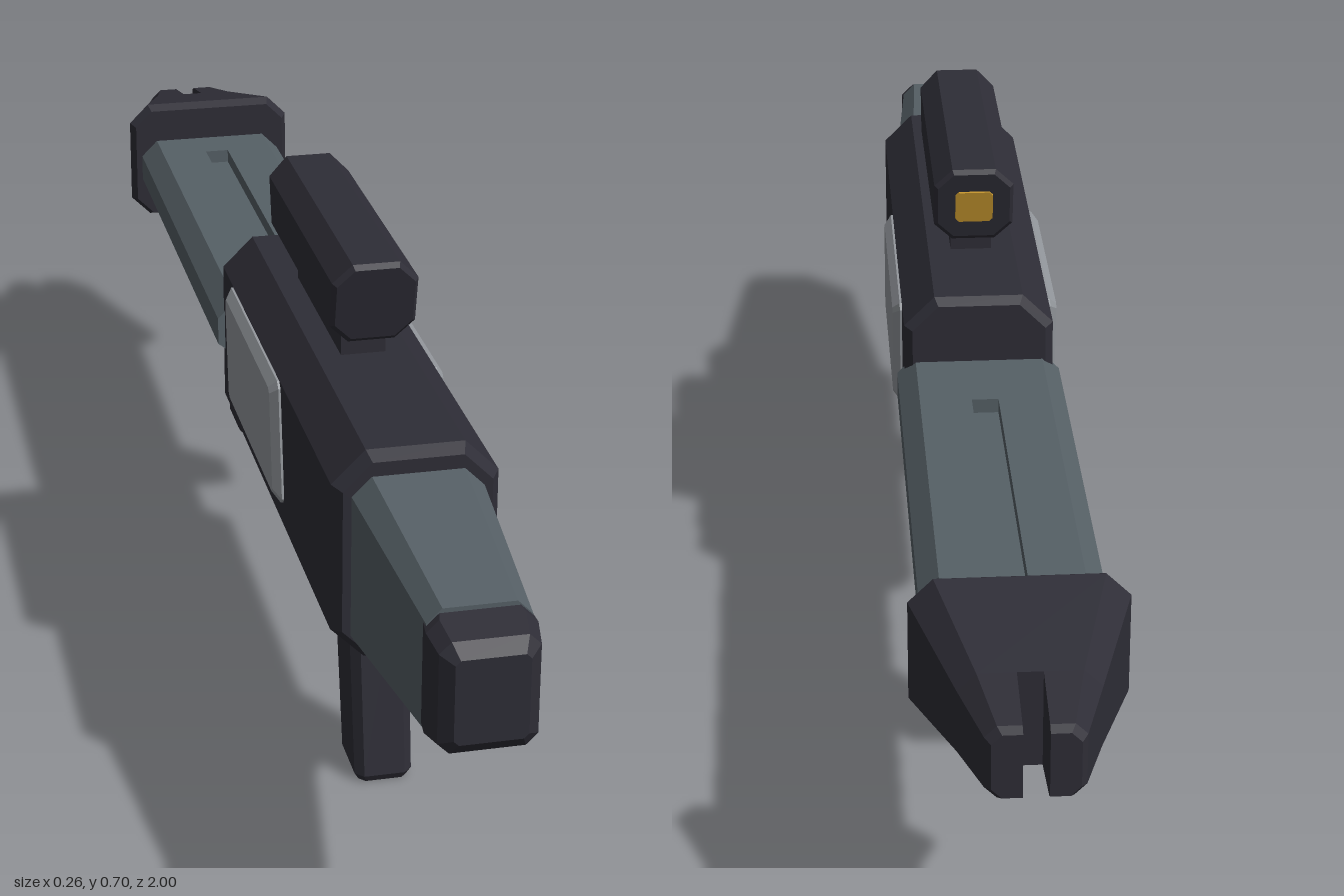
import * as THREE from 'three';

const mat = (name, color, extra = {}) => new THREE.MeshStandardMaterial({ name, color, flatShading: true, ...extra });

// Chamfered rectangles, each [z, y0, y1, halfWidth, chamfer], joined in order of rising z and capped.
function loft(sections, move) {
  const pos = [];
  const rings = sections.map(([z, y0, y1, w, c]) => [
    [w, y0 + c], [w, y1 - c], [w - c, y1], [c - w, y1],
    [-w, y1 - c], [-w, y0 + c], [c - w, y0], [w - c, y0],
  ].map(([x, y]) => {
    const v = new THREE.Vector3(x, y, z);
    if (move) move(v);
    return v;
  }));
  const tri = (a, b, c) => pos.push(...a, ...b, ...c);
  for (let i = 0; i + 1 < rings.length; i++) {
    const p = rings[i], q = rings[i + 1];
    for (let k = 0; k < 8; k++) {
      const n = (k + 1) % 8;
      tri(p[k], p[n], q[n]);
      tri(p[k], q[n], q[k]);
    }
  }
  const first = rings[0], last = rings[rings.length - 1];
  for (let k = 1; k < 7; k++) {
    tri(first[0], first[k + 1], first[k]);
    tri(last[0], last[k], last[k + 1]);
  }
  const g = new THREE.BufferGeometry();
  g.setAttribute('position', new THREE.Float32BufferAttribute(pos, 3));
  g.computeVertexNormals();
  return g;
}

export function createModel() {
  const model = new THREE.Group();
  model.name = 'launcher';
  const dark = mat('dark casing', 0x2e2d36);
  const steel = mat('steel grey', 0x566066);
  const light = mat('light panel', 0x94989d);
  const gold = mat('gold lens', 0xc8982f);
  const add = (name, geometry, material, parent = model) => {
    const m = new THREE.Mesh(geometry, material);
    m.name = name;
    parent.add(m);
    return m;
  };

  // Main body, tapered nose and end cap
  add('body', loft([
    [-0.07, 0.28, 0.54, 0.092, 0.036], [-0.058, 0.27, 0.55, 0.103, 0.042],
    [0.645, 0.27, 0.55, 0.103, 0.042], [0.662, 0.28, 0.54, 0.092, 0.036],
  ]), dark);
  add('nose', loft([[0.64, 0.282, 0.524, 0.083, 0.025], [0.94, 0.325, 0.495, 0.061, 0.018]]), steel);
  add('noseCap', loft([
    [0.93, 0.328, 0.492, 0.062, 0.018], [0.95, 0.33, 0.487, 0.064, 0.015],
    [0.985, 0.337, 0.478, 0.058, 0.014], [1.0, 0.355, 0.462, 0.043, 0.006],
  ]), dark);

  // Barrel in three lengths; the middle one has the long top groove
  const barrel = new THREE.Group();
  barrel.name = 'barrel';
  model.add(barrel);
  const barrelPiece = (z0, z1, groove) => {
    const s = new THREE.Shape();
    const pts = [[-0.09, 0.375], [0.09, 0.375], [0.113, 0.393], [0.113, 0.432], [0.088, 0.457]];
    if (groove) pts.push([0.018, 0.457], [0.018, 0.437], [-0.018, 0.437], [-0.018, 0.457]);
    pts.push([-0.088, 0.457], [-0.113, 0.432], [-0.113, 0.393]);
    s.setFromPoints(pts.map(([x, y]) => new THREE.Vector2(x, y)));
    const g = new THREE.ExtrudeGeometry(s, { depth: z1 - z0, bevelEnabled: false });
    g.translate(0, 0, z0);
    add('barrelSection', g, steel, barrel);
  };
  barrelPiece(-0.19, -0.05, false);
  barrelPiece(-0.68, -0.19, true);
  barrelPiece(-0.77, -0.68, false);
  add('underRail', loft([
    [-0.71, 0.324, 0.38, 0.048, 0.01], [-0.70, 0.32, 0.38, 0.052, 0.012], [-0.05, 0.32, 0.38, 0.052, 0.012],
  ]), dark);

  // Tapered muzzle head ending in two prongs
  const head = new THREE.Group();
  head.name = 'muzzle';
  model.add(head);
  const mid = [-0.91, 0.356, 0.48, 0.082, 0.022];
  add('muzzleBase', loft([
    mid, [-0.762, 0.326, 0.516, 0.13, 0.03], [-0.748, 0.332, 0.508, 0.122, 0.026],
  ]), dark, head);
  for (const side of [-1, 1]) {
    add('prong', loft([
      [-1.0, 0.375, 0.457, 0.05, 0.012], [-0.99, 0.37, 0.463, 0.057, 0.014], mid,
    ], (v) => { v.x = side * Math.max(side * v.x, 0.015); }), dark, head);
  }

  // Sight, its mount and rear lens
  add('sightMount', loft([[0.105, 0.54, 0.6, 0.029, 0.006], [0.37, 0.54, 0.6, 0.029, 0.006]]), dark);
  const rake = (v) => { v.z += Math.sign(v.z - 0.235) * (v.y - 0.645) * 0.22; };
  add('sight', loft([
    [0.038, 0.594, 0.694, 0.05, 0.022], [0.045, 0.587, 0.7, 0.055, 0.025],
    [0.425, 0.587, 0.7, 0.055, 0.025], [0.433, 0.594, 0.694, 0.05, 0.022],
  ], rake), dark);
  add('rearLens', loft([[0.033, 0.62, 0.667, 0.026, 0.005], [0.04, 0.62, 0.667, 0.026, 0.005]], rake), gold);

  // Raked grips, built upright from sections of height, depth and width
  const grip = (name, sections) => add(name, loft(sections).rotateX(-Math.PI / 2), dark);
  grip('rearGrip', [
    [0, -0.511, -0.427, 0.032, 0.008], [0.01, -0.516, -0.421, 0.038, 0.011], [0.3, -0.472, -0.364, 0.04, 0.012],
  ]);
  grip('foreGrip', [
    [0.122, 0.309, 0.391, 0.032, 0.008], [0.132, 0.303, 0.396, 0.037, 0.011], [0.34, 0.262, 0.367, 0.038, 0.011],
  ]);

  // Slanted bevelled side panels
  for (const side of [-1, 1]) {
    const g = loft([
      [0.095, 0.343, 0.507, 0.168, 0.008], [0.106, 0.343, 0.507, 0.168, 0.008], [0.116, 0.355, 0.495, 0.155, 0.006],
    ]);
    g.rotateY(side * Math.PI / 2);
    const p = g.attributes.position;
    for (let i = 0; i < p.count; i++) p.setZ(i, p.getZ(i) + 0.19 - (p.getY(i) - 0.425) * 0.14);
    g.computeVertexNormals();
    add(side > 0 ? 'leftPanel' : 'rightPanel', g, light);
  }
  return model;
}
